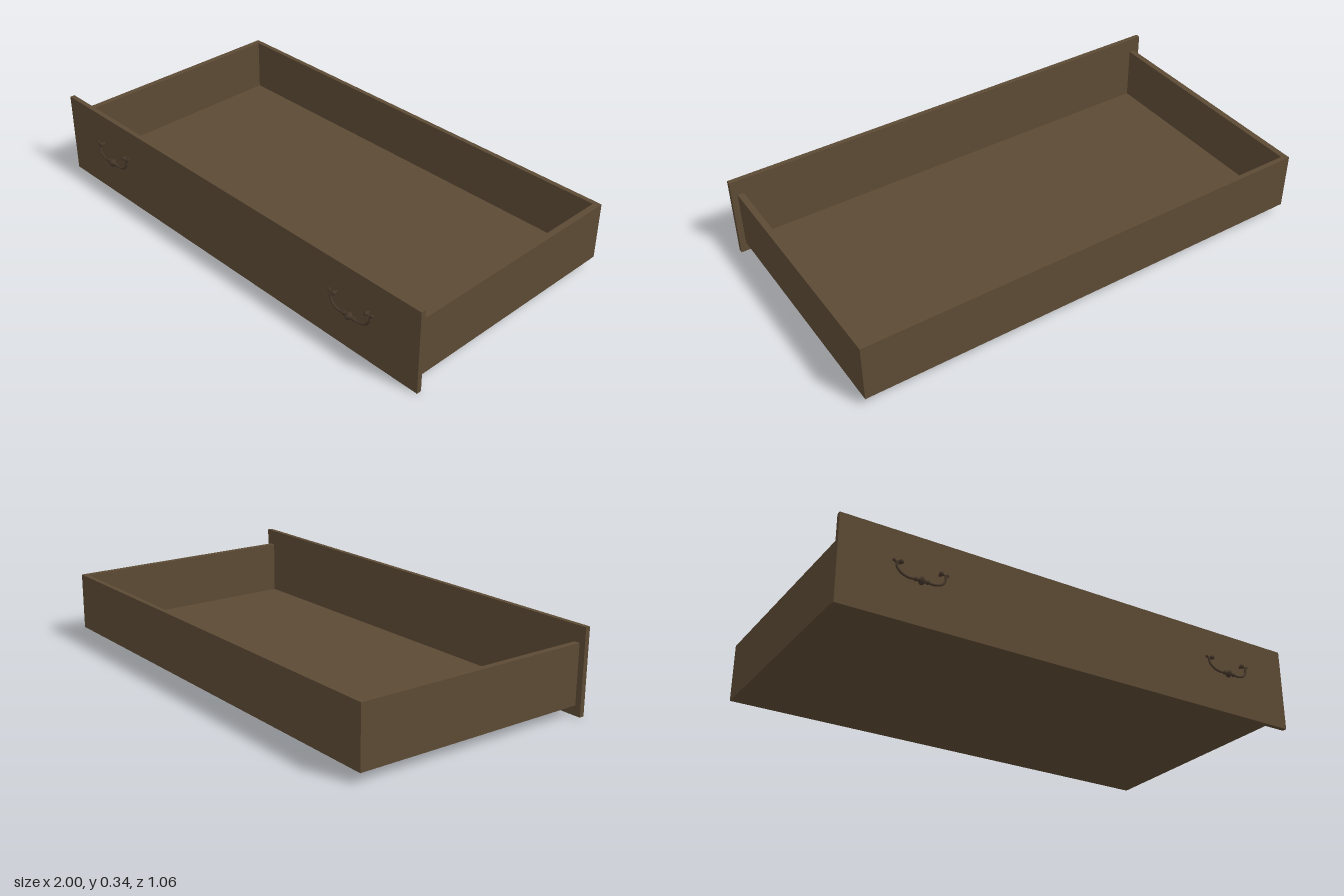
import * as THREE from 'three';

const wood = new THREE.MeshStandardMaterial({ name: 'brown wood', color: 0x5c4a34 });
const metal = new THREE.MeshStandardMaterial({ name: 'dark bronze', color: 0x45372a });

function add(parent, name, geometry, material, x = 0, y = 0, z = 0) {
  const mesh = new THREE.Mesh(geometry, material);
  mesh.name = name;
  mesh.position.set(x, y, z);
  parent.add(mesh);
  return mesh;
}

// Board given by its lower and upper corners
function board(parent, name, [x0, y0, z0], [x1, y1, z1]) {
  add(parent, name, new THREE.BoxGeometry(x1 - x0, y1 - y0, z1 - z0), wood,
    (x0 + x1) / 2, (y0 + y1) / 2, (z0 + z1) / 2);
}

// Swinging bail pull; local z = 0 is the face of the drawer front
function makeHandle(name) {
  const handle = new THREE.Group();
  handle.name = name;

  // Curved bail with ends that flick outwards
  const points = [[0.106, 0.217, 0.012], [0.096, 0.209, 0.014], [0.094, 0.192, 0.015],
    [0.078, 0.171, 0.018], [0.048, 0.161, 0.019], [0.02, 0.163, 0.019]];
  const left = points.map(p => new THREE.Vector3(...p));
  const right = points.map(([x, y, z]) => new THREE.Vector3(-x, y, z)).reverse();
  const path = new THREE.CatmullRomCurve3([...left, ...right]);
  add(handle, 'bail', new THREE.TubeGeometry(path, 48, 0.0045, 8), metal);

  // Turned bead at the middle of the bail
  const profile = [[0, -0.03], [0.005, -0.029], [0.009, -0.024], [0.005, -0.016], [0.008, -0.011],
    [0.015, -0.004], [0.015, 0.004], [0.008, 0.011], [0.005, 0.016], [0.009, 0.024],
    [0.005, 0.029], [0, 0.03]].map(p => new THREE.Vector2(...p));
  const bead = add(handle, 'centreBead', new THREE.LatheGeometry(profile, 16), metal, 0, 0.163, 0.019);
  bead.rotation.z = Math.PI / 2;

  // Posts, knobs and the pins that join them to the bail
  for (const s of [-1, 1]) {
    const post = add(handle, 'post', new THREE.CylinderGeometry(0.004, 0.005, 0.016, 10), metal, s * 0.078, 0.216, 0.007);
    post.rotation.x = Math.PI / 2;
    add(handle, 'postKnob', new THREE.SphereGeometry(0.009, 12, 8), metal, s * 0.078, 0.216, 0.015);
    const pin = add(handle, 'pin', new THREE.CylinderGeometry(0.003, 0.003, 0.024, 8), metal, s * 0.09, 0.214, 0.014);
    pin.rotation.z = Math.PI / 2;
    add(handle, 'bailTip', new THREE.SphereGeometry(0.006, 10, 8), metal, s * 0.104, 0.217, 0.012);
  }
  return handle;
}

export function createModel() {
  const drawer = new THREE.Group();
  drawer.name = 'drawer';

  // Overhanging front panel and the open box behind it
  board(drawer, 'frontPanel', [-1, 0, 0.476], [1, 0.345, 0.496]);
  board(drawer, 'backWall', [-0.975, 0.04, -0.53], [0.975, 0.28, -0.51]);
  board(drawer, 'leftWall', [0.95, 0.04, -0.51], [0.975, 0.28, 0.476]);
  board(drawer, 'rightWall', [-0.975, 0.04, -0.51], [-0.95, 0.28, 0.476]);
  board(drawer, 'bottom', [-0.95, 0.04, -0.51], [0.95, 0.056, 0.476]);

  // Two matching pulls
  for (const [name, x] of [['leftHandle', 0.692], ['rightHandle', -0.692]]) {
    const handle = makeHandle(name);
    handle.position.set(x, 0, 0.496);
    drawer.add(handle);
  }
  return drawer;
}
